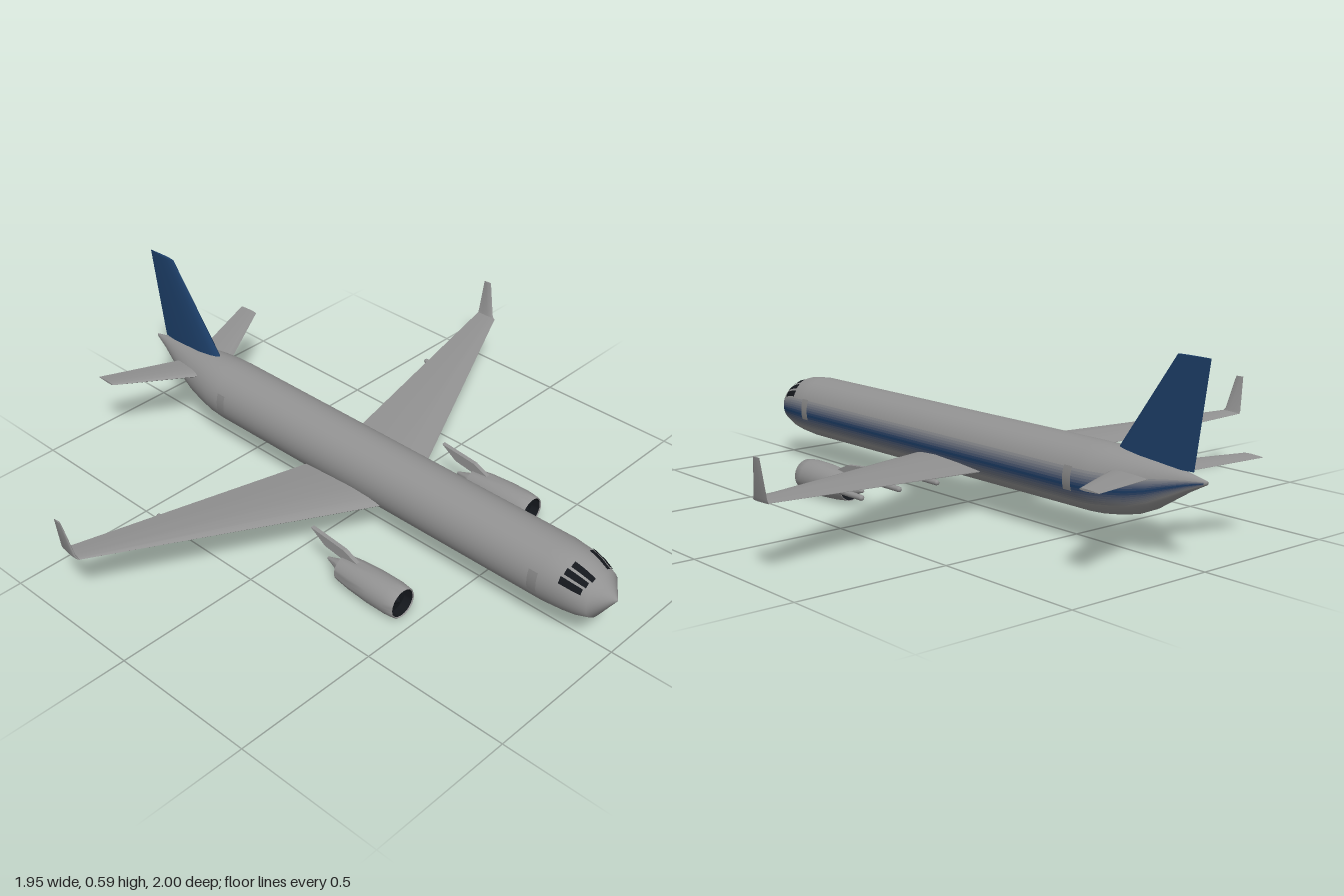
import * as THREE from 'three';
import { toCreasedNormals, mergeVertices } from 'three/addons/utils/BufferGeometryUtils.js';

const paint = (color) => new THREE.MeshStandardMaterial({ color });
const GREY = 0x929292, DOOR = 0x868686, BLUE = 0x1d3f69, BLACK = 0x14171c;

function mesh(name, geometry, material, parent) {
  const m = new THREE.Mesh(geometry, material);
  m.name = name;
  parent.add(m);
  return m;
}

// Skins a list of equal-length rings of [x, y, z]; closed solids get end caps and outward faces
function loft(rings, solid) {
  const n = rings[0].length, pos = rings.flat(2), idx = [];
  for (let i = 0; i < rings.length - 1; i++) {
    for (let j = 0; j < (solid ? n : n - 1); j++) {
      const k = (j + 1) % n, a = i * n + j, b = i * n + k;
      idx.push(a, b, a + n, b, b + n, a + n);
    }
  }
  if (solid) {
    const last = (rings.length - 1) * n;
    for (let j = 1; j < n - 1; j++) {
      idx.push(0, j + 1, j, last, last + j, last + j + 1);
    }
    // A negative volume means the faces point inward
    const p = (i) => new THREE.Vector3().fromArray(pos, idx[i] * 3);
    let volume = 0;
    for (let i = 0; i < idx.length; i += 3) volume += p(i).dot(p(i + 1).cross(p(i + 2)));
    if (volume < 0) idx.reverse();
  }
  const g = new THREE.BufferGeometry();
  g.setAttribute('position', new THREE.Float32BufferAttribute(pos, 3));
  g.setIndex(idx);
  g.computeVertexNormals();
  return g;
}

// Fuselage stations: z, centre height, half width, half height
const STATIONS = [
  [1, 0.198, 0.002, 0.002], [0.945, 0.187, 0.075, 0.072], [0.9, 0.191, 0.09, 0.09],
  [0.86, 0.194, 0.097, 0.099], [0.79, 0.195, 0.103, 0.105], [-0.59, 0.195, 0.103, 0.105],
  [-0.64, 0.196, 0.1, 0.103], [-0.7, 0.199, 0.089, 0.097], [-0.76, 0.203, 0.076, 0.087],
  [-0.82, 0.212, 0.059, 0.071], [-0.88, 0.226, 0.04, 0.049], [-0.94, 0.239, 0.02, 0.026],
  [-1, 0.249, 0.003, 0.005],
];

function stationAt(z) {
  let i = 0;
  while (i < STATIONS.length - 2 && STATIONS[i + 1][0] > z) i++;
  const a = STATIONS[i], b = STATIONS[i + 1], t = (a[0] - z) / (a[0] - b[0]);
  return a.map((v, k) => v + (b[k] - v) * t);
}

// Part of the fuselage skin between two stations and two angles (degrees above +x)
function skin(zFront, zBack, a0, a1, lift, side = 1) {
  const inner = STATIONS.map((s) => s[0]).filter((z) => z < zFront && z > zBack);
  const steps = Math.max(2, Math.ceil((a1 - a0) / 5));
  const rings = [zFront, ...inner, zBack].map((z) => {
    const [, cy, rx, ry] = stationAt(z);
    return Array.from({ length: steps + 1 }, (_, j) => {
      const a = THREE.MathUtils.degToRad(a0 + ((a1 - a0) * j) / steps);
      return [side * (rx + lift) * Math.cos(a), cy + (ry + lift) * Math.sin(a), z];
    });
  });
  // Mirrored patches run the other way round, so that faces stay outward
  return loft(side > 0 ? rings : rings.map((r) => r.reverse()), false);
}

// Tapered aerofoil; sections are [span, offset, zLeading, zTrailing, thickness]
function foil(sections, upright = false, side = 1) {
  const half = [[0.03, 0.4], [0.12, 0.8], [0.35, 1], [0.7, 0.6]];
  const outline = [[0, 0], ...half, [1, 0.06], [1, -0.06],
    ...half.map(([c, t]) => [c, -t]).reverse()];
  const rings = sections.map(([span, off, zl, zt, thick]) => outline.map(([c, t]) => {
    const z = zl + (zt - zl) * c, o = off + (t * thick) / 2;
    return upright ? [side * o, span, z] : [side * span, o, z];
  }));
  return toCreasedNormals(loft(rings, true), 0.7);
}

// Lathe around the z axis from [radius, z] points
function turned(points) {
  const g = new THREE.LatheGeometry(points.map(([r, z]) => new THREE.Vector2(r, z)), 32);
  return toCreasedNormals(g.rotateX(Math.PI / 2), 0.6);
}

function engine(x, grey, black) {
  const g = new THREE.Group();
  g.name = 'engine';
  g.position.set(x, 0.056, 0);
  mesh('nacelle', turned([[0.041, 0.213], [0.043, 0.213], [0.05, 0.27], [0.055, 0.35],
    [0.055, 0.42], [0.051, 0.455], [0.048, 0.459], [0.046, 0.455]]), grey, g);
  mesh('intakeDuct', turned([[0.046, 0.455], [0.045, 0.42]]), black, g);
  mesh('fan', turned([[0.047, 0.425], [0.015, 0.425], [0.009, 0.44], [0, 0.447]]), black, g);
  mesh('exhaustRing', turned([[0.041, 0.214], [0.034, 0.225], [0, 0.225]]), black, g);
  mesh('exhaustCone', turned([[0.026, 0.23], [0.025, 0.21], [0.016, 0.185], [0.004, 0.147],
    [0, 0.147]]), grey, g);

  // Swept pylon plate, drawn as z against y
  const shape = new THREE.Shape([[0.28, 0.047], [0.22, 0.073], [0.08, 0.087], [0.14, 0.047],
    [0.21, 0.037]].map(([z, y]) => new THREE.Vector2(-z, y)));
  const plate = new THREE.ExtrudeGeometry(shape, { depth: 0.014, bevelEnabled: false });
  plate.translate(0, 0, -0.007).rotateY(Math.PI / 2);
  mesh('pylon', plate, grey, g);
  return g;
}

export function createModel() {
  const model = new THREE.Group();
  model.name = 'airliner';
  const grey = paint(GREY), blue = paint(BLUE);
  const greyThin = paint(GREY), blackThin = paint(BLACK), doorPaint = paint(DOOR);
  for (const m of [greyThin, blackThin, doorPaint]) m.side = THREE.DoubleSide;

  // Fuselage
  const rings = STATIONS.map(([z, cy, rx, ry]) => Array.from({ length: 48 }, (_, j) => {
    const a = (j / 48) * Math.PI * 2;
    return [rx * Math.cos(a), cy + ry * Math.sin(a), z];
  }));
  mesh('fuselage', mergeVertices(loft(rings, true)), grey, model);

  // Soft-edged stripe along the left side, in bands fading from grey to blue and back
  const stripe = new THREE.Group();
  stripe.name = 'stripe';
  model.add(stripe);
  for (let i = 0; i < 13; i++) {
    const fade = Math.min(1, 1.1 - Math.abs(i - 6) / 6.5);
    const mat = paint(new THREE.Color(GREY).lerp(new THREE.Color(BLUE), fade));
    mat.side = THREE.DoubleSide;
    const a = -37 + i * 4.4;
    mesh('stripeBand', skin(0.945, -0.99, a, a + 4.4, 0.0006), mat, stripe);
  }

  // Tail fin
  mesh('tailFin', foil([[0.27, 0, -0.65, -0.95, 0.036], [0.3, 0, -0.672, -0.955, 0.034],
    [0.588, 0, -0.882, -1, 0.01]], true), blue, model);

  for (const s of [1, -1]) {
    // Wing, winglet and tailplane
    mesh('wing', foil([[0.075, 0.142, 0.167, -0.163, 0.038], [0.95, 0.215, -0.235, -0.313, 0.008]],
      false, s), grey, model);
    mesh('winglet', foil([[0.213, 0.949, -0.237, -0.313, 0.01], [0.225, 0.954, -0.248, -0.313, 0.01],
      [0.34, 0.971, -0.277, -0.307, 0.005]], true, s), grey, model);
    mesh('tailplane', foil([[0.02, 0.234, -0.67, -0.82, 0.02], [0.33, 0.258, -0.845, -0.92, 0.007]],
      false, s), grey, model);

    // Flap fairings under the wing
    for (const [x, y, z] of [[0.28, 0.143, -0.13], [0.45, 0.157, -0.167], [0.62, 0.169, -0.216]]) {
      const fairing = new THREE.CapsuleGeometry(0.0085, 0.115, 4, 10).rotateX(Math.PI / 2);
      mesh('flapFairing', fairing, grey, model).position.set(s * x, y, z);
    }

    // Cabin doors
    for (const z of [0.787, -0.545]) {
      mesh('door', skin(z, z - 0.033, -17, 22, 0.003, s), doorPaint, model);
    }

    // Cockpit windows, stepping forward towards the centre
    for (const [a0, a1, z] of [[23, 36, 0.924], [41, 53, 0.93], [58, 70, 0.937]]) {
      mesh('cockpitWindow', skin(z, z - 0.07, a0, a1, 0.0025, s), blackThin, model);
    }

    model.add(engine(s * 0.307, greyThin, blackThin));
  }
  return model;
}
